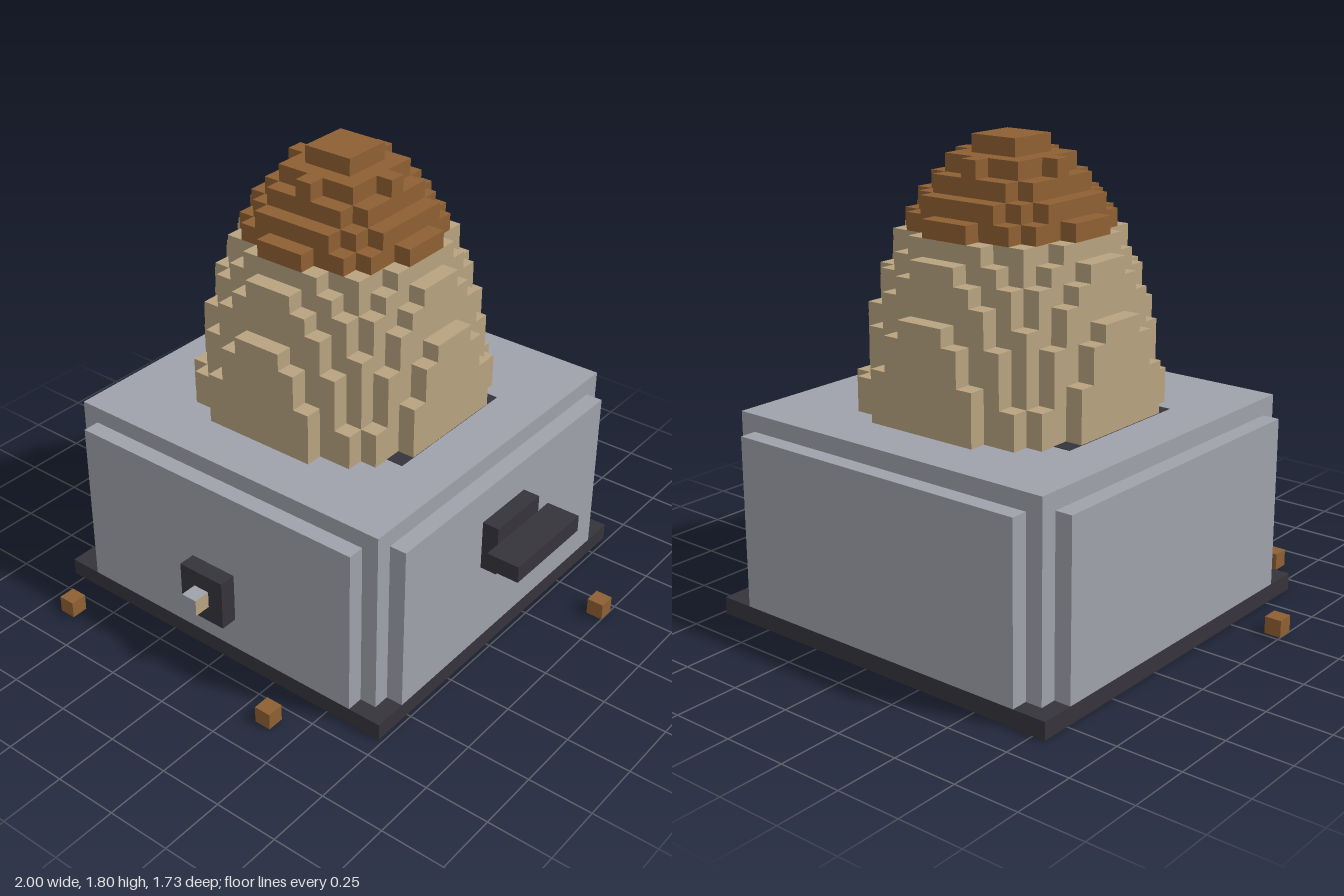
import * as THREE from 'three';
import { mergeGeometries } from 'three/addons/utils/BufferGeometryUtils.js';

const U = 1 / 15; // one block

const material = (name, color) => {
  const m = new THREE.MeshStandardMaterial({ color });
  m.name = name;
  return m;
};

export function createModel() {
  const model = new THREE.Group();
  model.name = 'toaster';
  const grey = material('grey metal', 0x9fa2aa);
  const dark = material('dark plastic', 0x36343b);
  const tan = material('bread crumb', 0xb8a380);
  const brown = material('bread crust', 0x8f6033);

  const add = (name, geometry, mat) => {
    const mesh = new THREE.Mesh(geometry, mat);
    mesh.name = name;
    model.add(mesh);
    return mesh;
  };

  // box given by its block limits
  const block = (name, mat, [x0, x1], [y0, y1], [z0, z1]) => {
    const g = new THREE.BoxGeometry((x1 - x0) * U, (y1 - y0) * U, (z1 - z0) * U);
    g.translate((x0 + x1) / 2 * U, (y0 + y1) / 2 * U, (z0 + z1) / 2 * U);
    return add(name, g, mat);
  };

  // casing
  block('basePlate', dark, [-12, 11], [0, 1], [-13, 10]);
  block('body', grey, [-11, 10], [1, 12], [-12, 9]);
  block('frontPanel', grey, [-10, 9], [1, 11], [9, 10]);
  block('backPanel', grey, [-10, 9], [1, 11], [-13, -12]);
  block('leftPanel', grey, [10, 11], [1, 11], [-11, 8]);
  block('rightPanel', grey, [-12, -11], [1, 11], [-11, 8]);
  block('slot', dark, [-8, 7], [12, 12.03], [-6, 3]);

  // dial on the front, its pointer tan on one side
  block('dial', dark, [-2, 1], [3, 6], [10, 11]);
  block('dialPointer', [tan, grey, grey, grey, grey, grey], [-1, 0], [4, 5], [11, 12]);

  // lever on the left side
  block('leverMount', dark, [11, 12], [6, 9], [-3, 1]);
  block('leverHandle', dark, [12, 14], [7, 8], [-4, 2]);

  // crumbs around the base
  for (const [x, z] of [[-10, 12], [5, 12], [14, -7], [-15, 4]]) {
    block('crumb', brown, [x, x + 1], [0, 1], [z, z + 1]);
  }

  // one block-high slice of the bread: a stepped disc
  const slice = (k) => {
    const r2 = 65 - 0.2179 * (k + 3) ** 2;
    const n = Math.floor(Math.sqrt(r2));
    const side = [];
    for (let d = -n; d <= n; d++) {
      const w = Math.floor(Math.sqrt(r2 - d * d)) + 0.5;
      side.push([w, d - 0.5], [w, d + 0.5]);
    }
    const outline = [...side, ...side.map(([w, d]) => [-w, d]).reverse()];
    const shape = new THREE.Shape(outline.map(([x, y]) => new THREE.Vector2(x * U, y * U)));
    const g = new THREE.ExtrudeGeometry(shape, { depth: U, bevelEnabled: false });
    g.rotateX(-Math.PI / 2);
    return g.translate(-0.5 * U, (12 + k) * U, -1.5 * U);
  };

  const slices = Array.from({ length: 15 }, (_, k) => slice(k));
  add('loaf', mergeGeometries(slices.slice(0, 10)), tan);
  add('loafCrust', mergeGeometries(slices.slice(10)), brown);

  return model;
}
